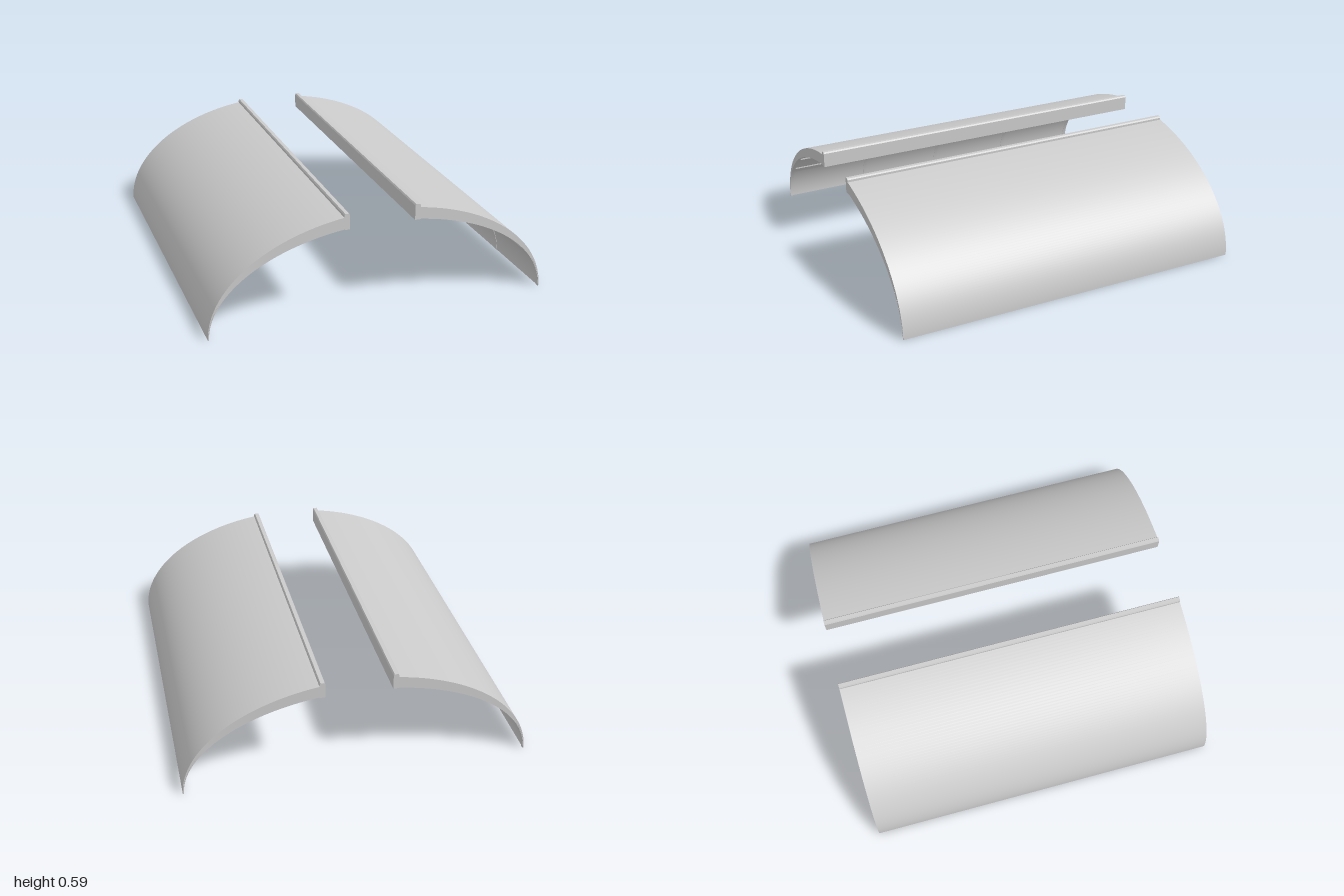
import * as THREE from 'three';
import { toCreasedNormals } from 'three/addons/utils/BufferGeometryUtils.js';

const OUTER = [0.94, 0.588]; // half-axes of the elliptical arcs
const INNER = [0.937, 0.533];
const RIB = [0.934, 0.521];
const material = new THREE.MeshStandardMaterial({ color: 0xcccccc, side: THREE.DoubleSide });

// points along an elliptical arc from x = x0 to x = x1 on one side
function arc([a, b], x0, x1, side, steps) {
  const t0 = Math.acos(Math.min(1, x0 / a)), t1 = Math.acos(Math.min(1, x1 / a));
  return Array.from({ length: steps + 1 }, (_, i) => {
    const t = t0 + (t1 - t0) * i / steps;
    return new THREE.Vector2(side * a * Math.cos(t), b * Math.sin(t));
  });
}

function extrude(name, points, z, depth) {
  const geometry = new THREE.ExtrudeGeometry(new THREE.Shape(points), { depth, bevelEnabled: false });
  geometry.translate(0, 0, z - depth / 2);
  const mesh = new THREE.Mesh(toCreasedNormals(geometry, 0.5), material);
  mesh.name = name;
  return mesh;
}

// strip between two arcs, extruded along z
function band(name, outer, inner, x0, x1, side, steps, z, depth) {
  const points = [...arc(outer, x0, x1, side, steps), ...arc(inner, x0, x1, side, steps).reverse()];
  return extrude(name, points, z, depth);
}

function createPanel(side) {
  const panel = new THREE.Group();
  panel.name = side > 0 ? 'leftPanel' : 'rightPanel';

  // curved skin, tapering to a thin lower edge
  panel.add(band('skin', OUTER, INNER, 0.94, 0.2, side, 64, 0, 2));

  // upright flange along the inner top edge
  const flange = [[0.18, 0.505], [0.21, 0.505], [0.21, 0.585], [0.205, 0.593], [0.185, 0.593], [0.18, 0.585]];
  panel.add(extrude('flange', flange.map(([x, y]) => new THREE.Vector2(side * x, y)), 0, 2));

  // curved ribs across the underside
  for (const z of [-0.99, -0.5, 0, 0.5, 0.99]) {
    panel.add(band('crossRib', [0.936, 0.535], RIB, 0.94, 0.2, side, 48, z, 0.02));
  }

  // straight ribs along the underside
  for (const x of [0.225, 0.41, 0.58, 0.74, 0.86]) {
    panel.add(band('longRib', [0.936, 0.535], RIB, x + 0.01, x - 0.01, side, 2, 0, 1.99));
  }
  return panel;
}

export function createModel() {
  const model = new THREE.Group();
  model.name = 'curvedPanels';
  model.add(createPanel(1), createPanel(-1));
  return model;
}
